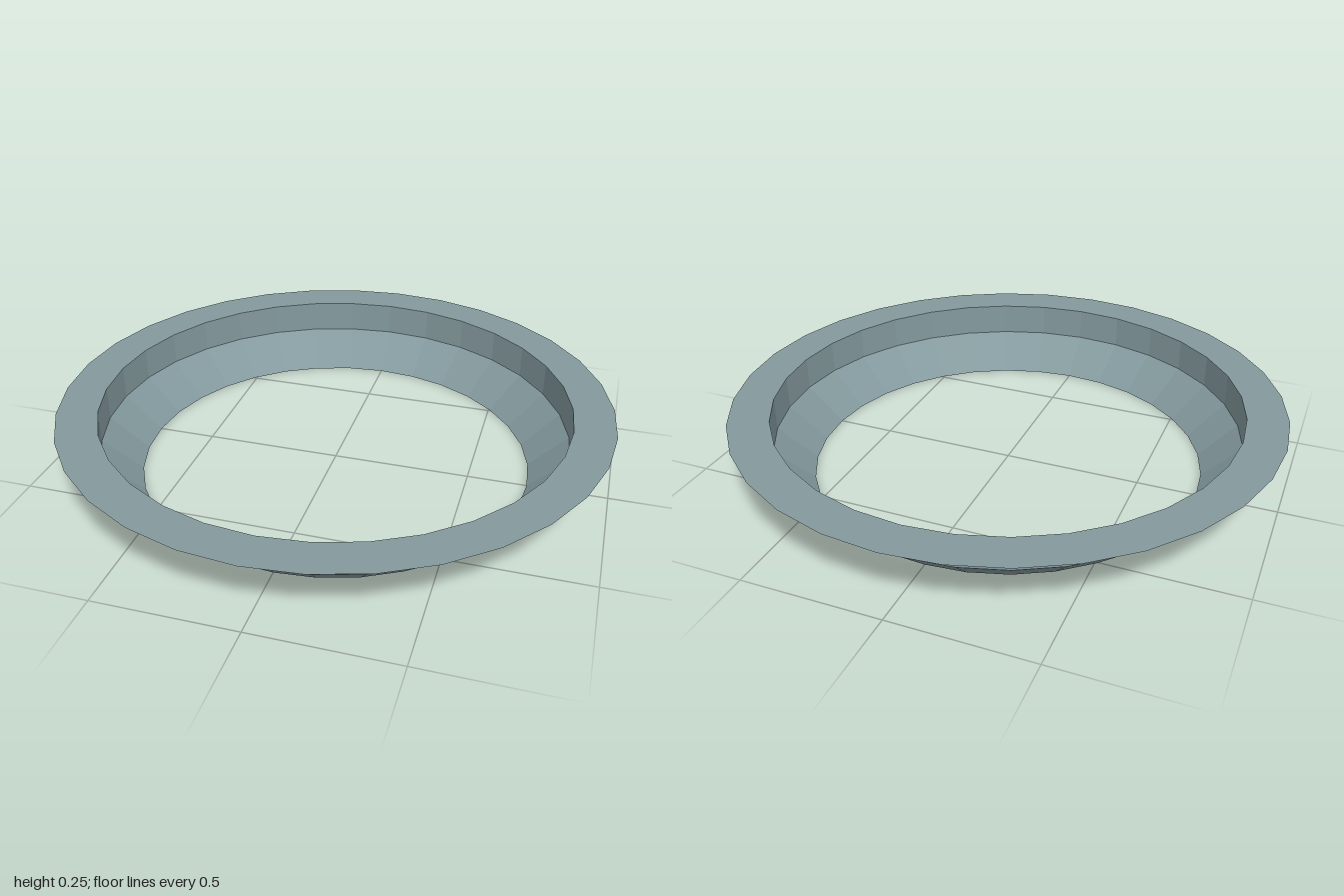
import * as THREE from 'three';

const SIDES = 32;

export function createModel() {
  const group = new THREE.Group();
  group.name = 'flangedRing';
  const material = new THREE.MeshStandardMaterial({
    color: 0x849a9e, flatShading: true, side: THREE.DoubleSide,
  });

  // One open, faceted band swept between two [radius, height] points
  const addBand = (name, from, to) => {
    const profile = [new THREE.Vector2(...from), new THREE.Vector2(...to)];
    const band = new THREE.Mesh(new THREE.LatheGeometry(profile, SIDES), material);
    band.name = name;
    group.add(band);
  };

  const foot = [0.715, 0], shoulder = [0.853, 0.125], lip = [0.853, 0.247], rim = [1, 0.247];
  addBand('taperedFoot', foot, shoulder);
  addBand('uprightWall', shoulder, lip);
  addBand('topFlange', lip, rim);
  return group;
}
